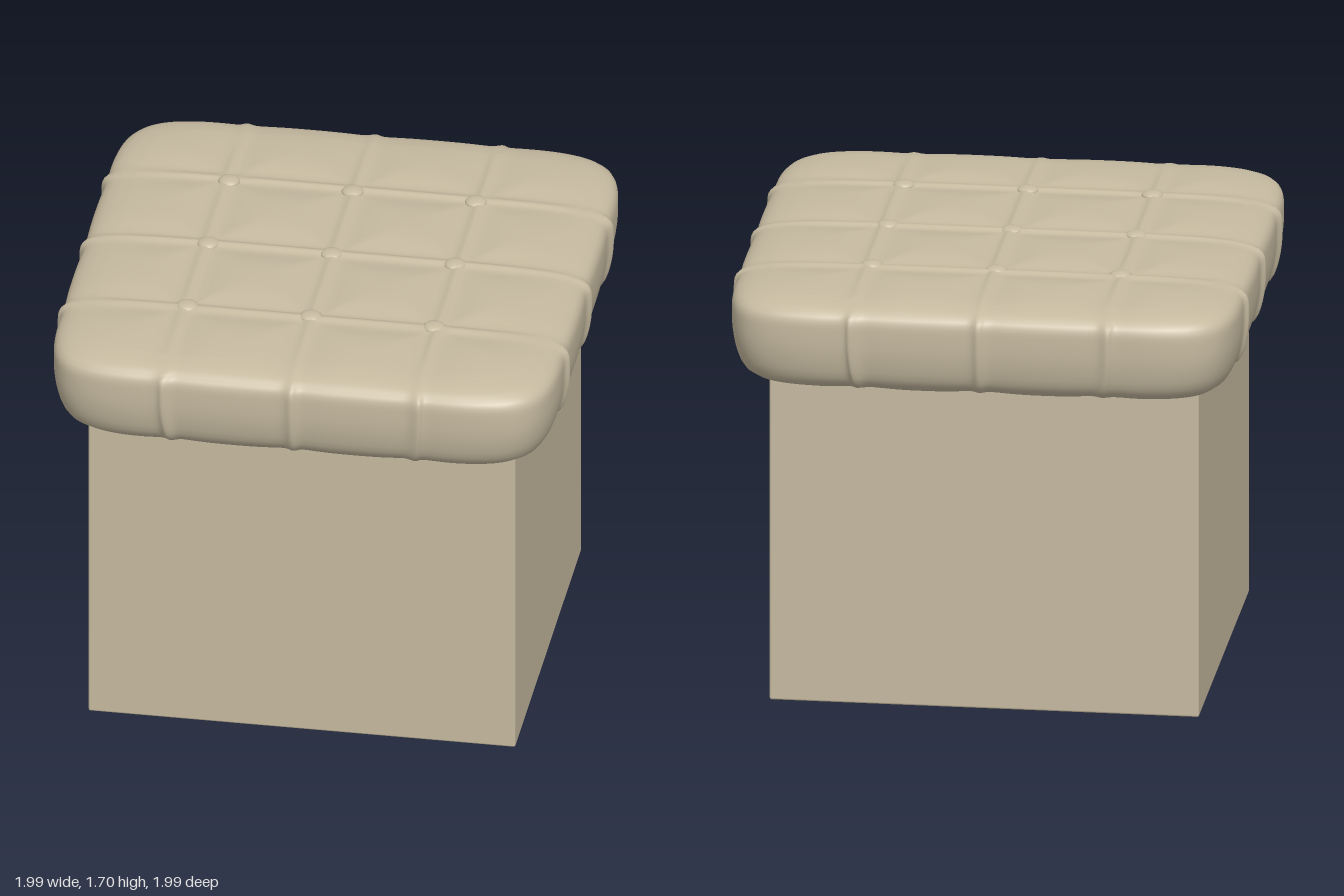
import * as THREE from 'three';
import { mergeVertices } from 'three/addons/utils/BufferGeometryUtils.js';
import { RoundedBoxGeometry } from 'three/addons/geometries/RoundedBoxGeometry.js';

const fabric = new THREE.MeshStandardMaterial({ color: 0xc6baa0 });
const SEAMS_X = [-0.505, -0.01, 0.48];
const SEAMS_Z = [-0.49, 0.005, 0.5];

const bump = (d, width) => Math.exp(-((d / width) ** 2));
// crowd grid lines toward the seams and the edges
const crowd = (u) => u - (0.8 * Math.sin(4 * Math.PI * u)) / (4 * Math.PI);

// piped seams: a soft valley with a narrow raised cord in it
function seamRelief(x, z) {
  let valley = 0, cord = 0;
  for (const [p, seams] of [[x, SEAMS_X], [z, SEAMS_Z]]) {
    for (const s of seams) {
      valley = Math.max(valley, bump(p - s, 0.11));
      cord = Math.max(cord, bump(p - s, 0.022));
    }
  }
  return { valley, cord };
}

// a subdivided box rounded into a pillow and pinched along the seams
function cushionGeometry() {
  let geo = new THREE.BoxGeometry(2, 2, 2, 100, 18, 100);
  geo.deleteAttribute('normal');
  geo.deleteAttribute('uv');
  geo = mergeVertices(geo);
  const pos = geo.attributes.position;
  for (let i = 0; i < pos.count; i++) {
    const u = crowd(pos.getX(i)), v = pos.getY(i), w = crowd(pos.getZ(i));
    const m = Math.max(Math.abs(u), Math.abs(w));
    // rounded corners in plan
    const plan = m > 0 ? m / (Math.abs(u) ** 8 + Math.abs(w) ** 8) ** (1 / 8) : 1;
    // rounded rim, fuller above than below
    const n = v > 0 ? 5 : 10;
    const rim = 1 / (m ** n + Math.abs(v) ** n) ** (1 / n);
    const h = v * rim;
    const taper = h < 0 ? 1 - 0.06 * h * h : 1;
    let x = u * plan * rim * 0.985, z = w * plan * rim * 0.985;
    const { valley, cord } = seamRelief(x, z);
    const side = (m * rim) ** 8, cap = Math.abs(h) ** 6;
    const grow = taper * (1 + side * (0.018 * cord - 0.006 * valley));
    x *= grow;
    z *= grow;
    const lift = h > 0 ? 0.013 * cord - 0.022 * valley : 0.006 * cord - 0.012 * valley;
    const y = 1.55 + h * (h > 0 ? 0.15 : 0.25) + Math.sign(h) * cap * lift;
    pos.setXYZ(i, x, y, z);
  }
  geo.computeVertexNormals();
  return geo;
}

export function createModel() {
  const group = new THREE.Group();
  group.name = 'tuftedStool';
  const add = (name, geo, x = 0, y = 0, z = 0) => {
    const mesh = new THREE.Mesh(geo, fabric);
    mesh.name = name;
    mesh.position.set(x, y, z);
    group.add(mesh);
    return mesh;
  };

  // upholstered box base
  add('base', new RoundedBoxGeometry(1.66, 1.33, 1.51, 2, 0.008), -0.005, 0.665, 0);

  // padded seat
  add('cushion', cushionGeometry());

  // flattened buttons at the seam crossings
  const buttonGeo = new THREE.SphereGeometry(0.043, 24, 12);
  buttonGeo.scale(1, 0.4, 1);
  for (const x of [-0.495, -0.015, 0.465]) {
    for (const z of [-0.47, 0.01, 0.49]) add('button', buttonGeo, x, 1.682, z);
  }
  return group;
}
